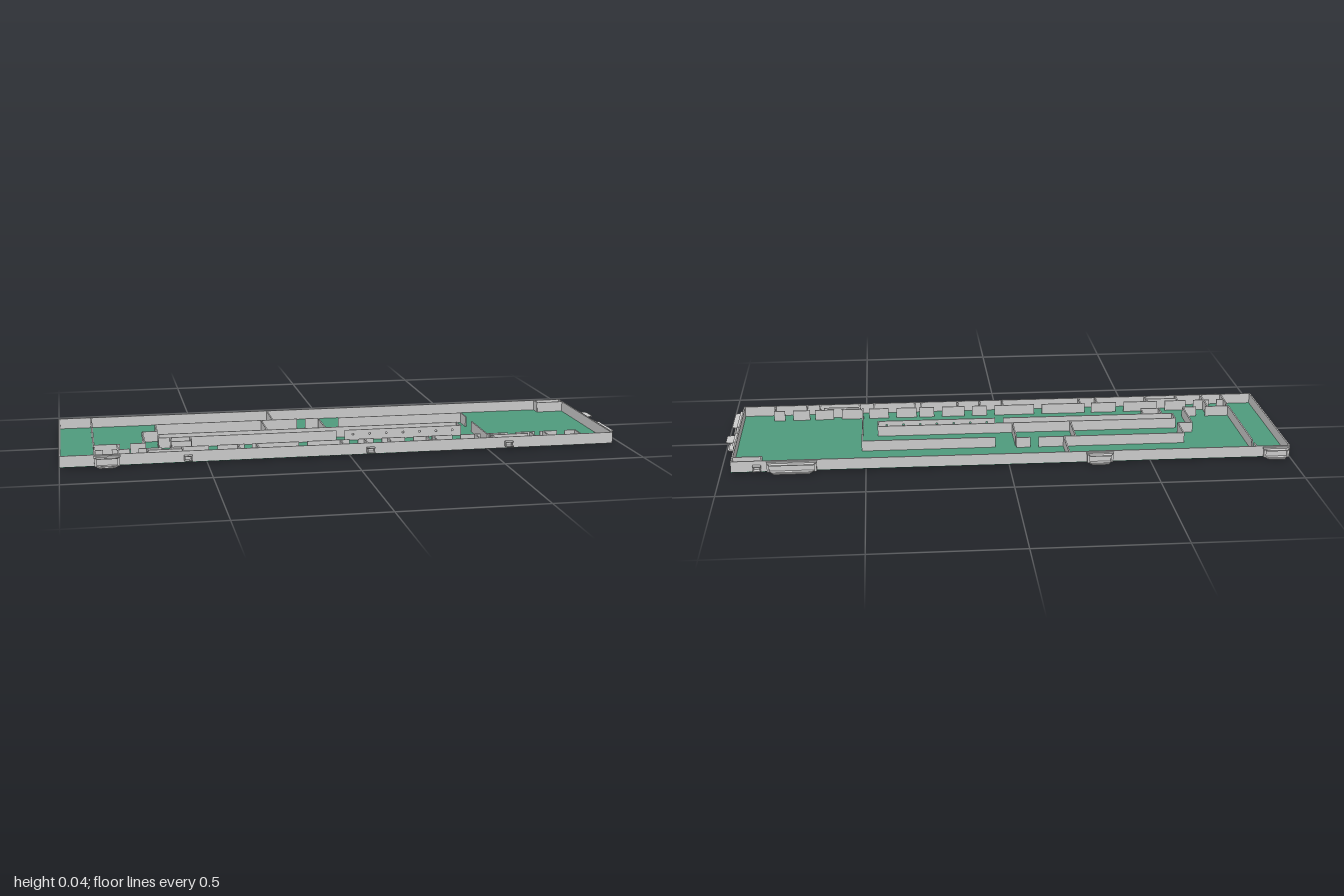
import * as THREE from 'three';

const grey = new THREE.MeshStandardMaterial({ color: 0xcccccc, flatShading: true });
const green = new THREE.MeshStandardMaterial({ color: 0x4f9a7c, flatShading: true });
const BASE = 0.003, FLOOR = 0.005, TOP = 0.043, T = 0.005;
const X0 = -1, X1 = 0.965, Z0 = -0.295, Z1 = 0.292;

function box(parent, name, x0, x1, y0, y1, z0, z1, mat = grey) {
  const m = new THREE.Mesh(new THREE.BoxGeometry(x1 - x0, y1 - y0, z1 - z0), mat);
  m.position.set((x0 + x1) / 2, (y0 + y1) / 2, (z0 + z1) / 2);
  m.name = name;
  parent.add(m);
  return m;
}

// Walls running along x or along z, centred on their line
const wallX = (p, z, a, b) => box(p, 'wall', a, b, FLOOR, TOP, z - T / 2, z + T / 2);
const wallZ = (p, x, a, b) => box(p, 'wall', x - T / 2, x + T / 2, FLOOR, TOP, a, b);

// Wall pierced by a row of small square openings
function piercedWall(parent, z, a, b, count) {
  const s = new THREE.Shape();
  s.moveTo(a, FLOOR).lineTo(b, FLOOR).lineTo(b, TOP).lineTo(a, TOP).closePath();
  for (let i = 0; i < count; i++) {
    const x = a + ((i + 0.5) * (b - a)) / count, y = 0.027, r = 0.003;
    const h = new THREE.Path();
    h.moveTo(x - r, y - r).lineTo(x - r, y + r).lineTo(x + r, y + r).lineTo(x + r, y - r).closePath();
    s.holes.push(h);
  }
  const m = new THREE.Mesh(new THREE.ExtrudeGeometry(s, { depth: T, bevelEnabled: false }), grey);
  m.position.z = z - T / 2;
  m.name = 'piercedWall';
  parent.add(m);
}

// Horizontal trapezoid plate projecting towards local +z
function plate(parent, name, w, depth, y, h) {
  const c = Math.min(0.012, w * 0.15);
  const s = new THREE.Shape();
  s.moveTo(-w / 2, 0).lineTo(w / 2, 0).lineTo(w / 2 - c, -depth).lineTo(-w / 2 + c, -depth).closePath();
  const m = new THREE.Mesh(new THREE.ExtrudeGeometry(s, { depth: h, bevelEnabled: false }), grey);
  m.rotation.x = -Math.PI / 2;
  m.position.y = y;
  m.name = name;
  parent.add(m);
}

// Entrance: posts, lintel, canopy and two steps, facing local +z
function entrance(parent, x, z, angle, w, depth) {
  const g = new THREE.Group();
  g.name = 'entrance';
  for (const s of [-1, 1]) {
    const c = s * (w / 2 - 0.006);
    box(g, 'entrancePost', c - 0.004, c + 0.004, BASE, 0.034, 0, 0.01);
  }
  box(g, 'entranceLintel', -w / 2, w / 2, 0.034, 0.04, 0, 0.008);
  box(g, 'entranceDoor', -w / 2 + 0.01, w / 2 - 0.01, BASE, 0.034, 0, 0.004);
  plate(g, 'canopy', w, depth, 0.032, 0.003);
  plate(g, 'upperStep', w * 0.92, depth * 0.75, 0.003, 0.003);
  plate(g, 'lowerStep', w * 0.85, depth * 0.92, 0, 0.003);
  g.position.set(x, 0, z);
  g.rotation.y = angle;
  parent.add(g);
}

// Small side door with a hood and a landing
function sideDoor(parent, x, z, angle) {
  const g = new THREE.Group();
  g.name = 'sideDoor';
  box(g, 'hood', -0.014, 0.014, 0.026, 0.029, 0, 0.02);
  box(g, 'landing', -0.014, 0.014, 0.01, 0.013, 0, 0.02);
  for (const s of [-0.012, 0.012]) box(g, 'doorPost', s - 0.002, s + 0.002, 0.01, 0.029, 0, 0.01);
  g.position.set(x, 0, z);
  g.rotation.y = angle;
  parent.add(g);
}

export function createModel() {
  const model = new THREE.Group();
  model.name = 'floorPlan';

  box(model, 'floorSlab', X0, X1, BASE, FLOOR, Z0, Z1, green);

  // Outer shell
  const shell = new THREE.Group();
  shell.name = 'outerWalls';
  model.add(shell);
  box(shell, 'backWall', X0, X1, BASE, TOP, Z0, Z0 + T);
  box(shell, 'frontWall', X0, X1, BASE, TOP, Z1 - T, Z1);
  box(shell, 'rightWall', X0, X0 + T, BASE, TOP, Z0 + T, Z1 - T);
  box(shell, 'leftWall', X1 - T, X1, BASE, TOP, Z0 + T, Z1 - T);

  // Inner partitions: [line, start, end]
  const inner = new THREE.Group();
  inner.name = 'innerWalls';
  model.add(inner);
  const alongX = [
    [0.15, -0.88, -0.79], [0.15, -0.755, -0.703], [-0.024, -0.703, -0.65],
    [-0.133, -0.65, -0.12], [-0.133, -0.09, -0.04], [-0.123, 0.035, 0.515],
    [0.027, -0.65, 0.455], [0.083, -0.65, -0.01],
    [0.145, -0.61, -0.54], [0.255, -0.7, -0.58], [0.25, 0.52, 0.66], [-0.25, 0.86, 0.96],
  ];
  const alongZ = [
    [-0.88, -0.29, -0.255], [-0.88, -0.23, 0.15], [-0.88, 0.18, 0.29],
    [-0.703, -0.024, 0.15], [-0.65, -0.133, -0.024], [-0.65, 0.027, 0.083],
    [-0.212, -0.29, -0.133], [-0.255, -0.133, 0.027], [-0.04, -0.12, 0.027],
    [0.513, -0.123, -0.05], [0.513, 0.03, 0.24], [0.455, 0.027, 0.045], [0.455, 0.065, 0.085],
    [-0.61, 0.083, 0.145], [-0.54, 0.083, 0.125], [-0.8, 0.15, 0.227], [0.86, -0.29, -0.25],
  ];
  alongX.forEach(([z, a, b]) => wallX(inner, z, a, b));
  alongZ.forEach(([x, a, b]) => wallZ(inner, x, a, b));
  piercedWall(inner, 0.083, 0.02, 0.455, 7);

  // Row of small rooms along the front, each with a door gap
  const rooms = new THREE.Group();
  rooms.name = 'frontRooms';
  model.add(rooms);
  const dividers = [-0.88, -0.8, -0.7, -0.58, -0.385, -0.32, -0.022, 0.065, 0.15, 0.29, 0.315, 0.47, 0.525, 0.675, 0.725, 0.845];
  dividers.forEach((x, i) => {
    wallZ(rooms, x, 0.227, Z1 - T);
    const next = dividers[i + 1];
    if (next === undefined) return;
    const w = next - x, mid = x + w * 0.55, gap = Math.min(0.03, w * 0.4);
    wallX(rooms, 0.227, x, mid - gap / 2);
    wallX(rooms, 0.227, mid + gap / 2, next);
  });

  // Entrances and side doors around the shell
  const back = Math.PI, left = Math.PI / 2;
  entrance(model, -0.95, Z0, back, 0.095, 0.027);
  entrance(model, -0.32, Z0, back, 0.095, 0.027);
  entrance(model, 0.755, Z0, back, 0.175, 0.027);
  entrance(model, X1, -0.045, left, 0.09, 0.035);
  entrance(model, X1, 0.157, left, 0.175, 0.026);
  entrance(model, -0.84, Z1, 0, 0.09, 0.027);
  sideDoor(model, 0.875, Z0, back);
  for (const x of [-0.565, 0.073, 0.575]) sideDoor(model, x, Z1, 0);

  return model;
}
